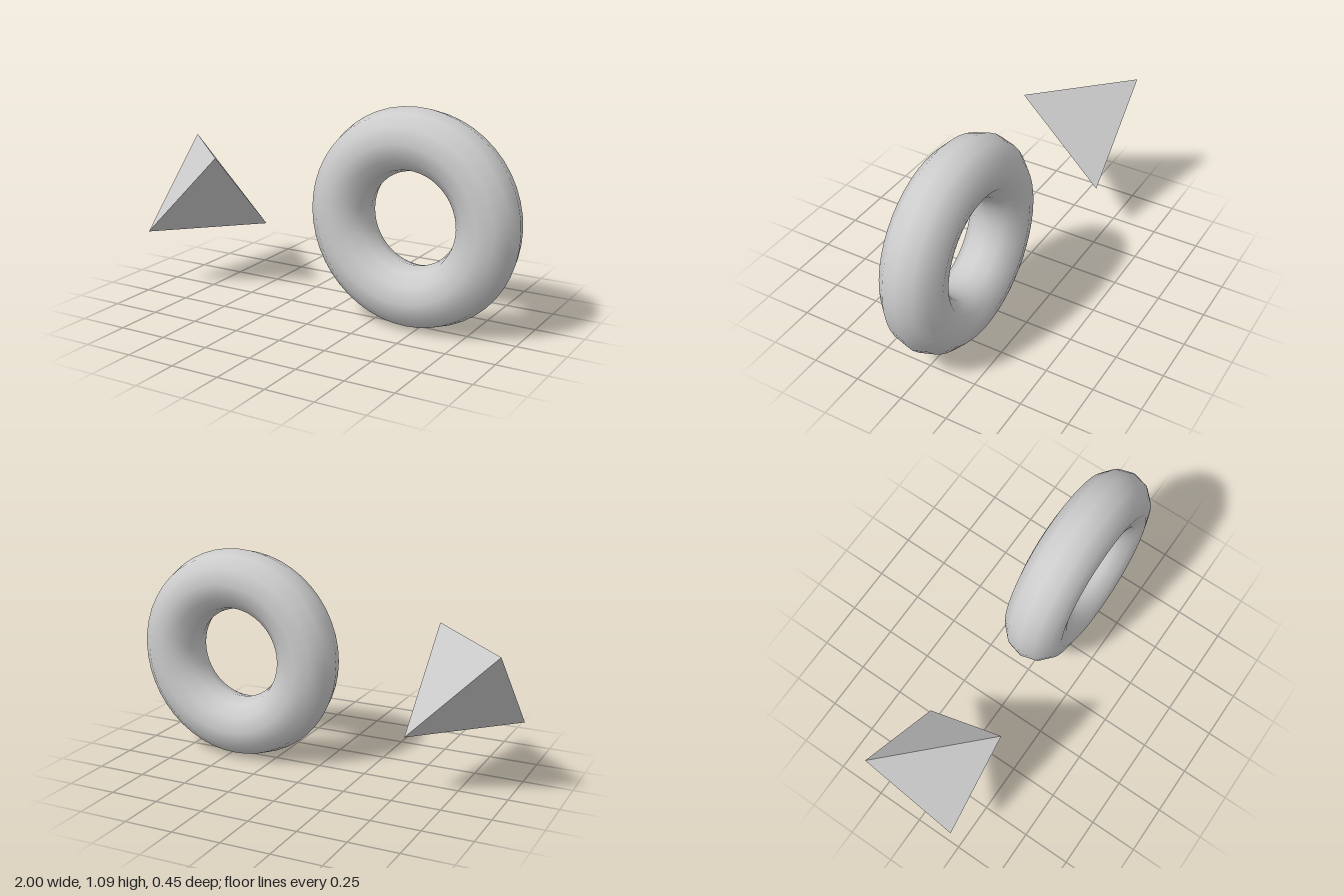
import * as THREE from 'three';

export function createModel() {
  const group = new THREE.Group();
  const unit = 0.3896; // shared radius of both solids
  const centreY = 1.4 * unit + 0.001;

  const add = (name, geometry, x, flatShading) => {
    const material = new THREE.MeshStandardMaterial({ color: 0xcccccc, flatShading });
    const mesh = new THREE.Mesh(geometry, material);
    mesh.name = name;
    mesh.position.set(x, centreY, 0);
    group.add(mesh);
  };

  // Faceted four-sided solid
  add('tetrahedron', new THREE.TetrahedronGeometry(unit), -1 + unit / Math.sqrt(3), true);

  // Smooth upright ring with a twelve-sided tube
  add('ring', new THREE.TorusGeometry(unit, 0.4 * unit, 12, 48), 1 - 1.4 * unit, false);

  return group;
}
